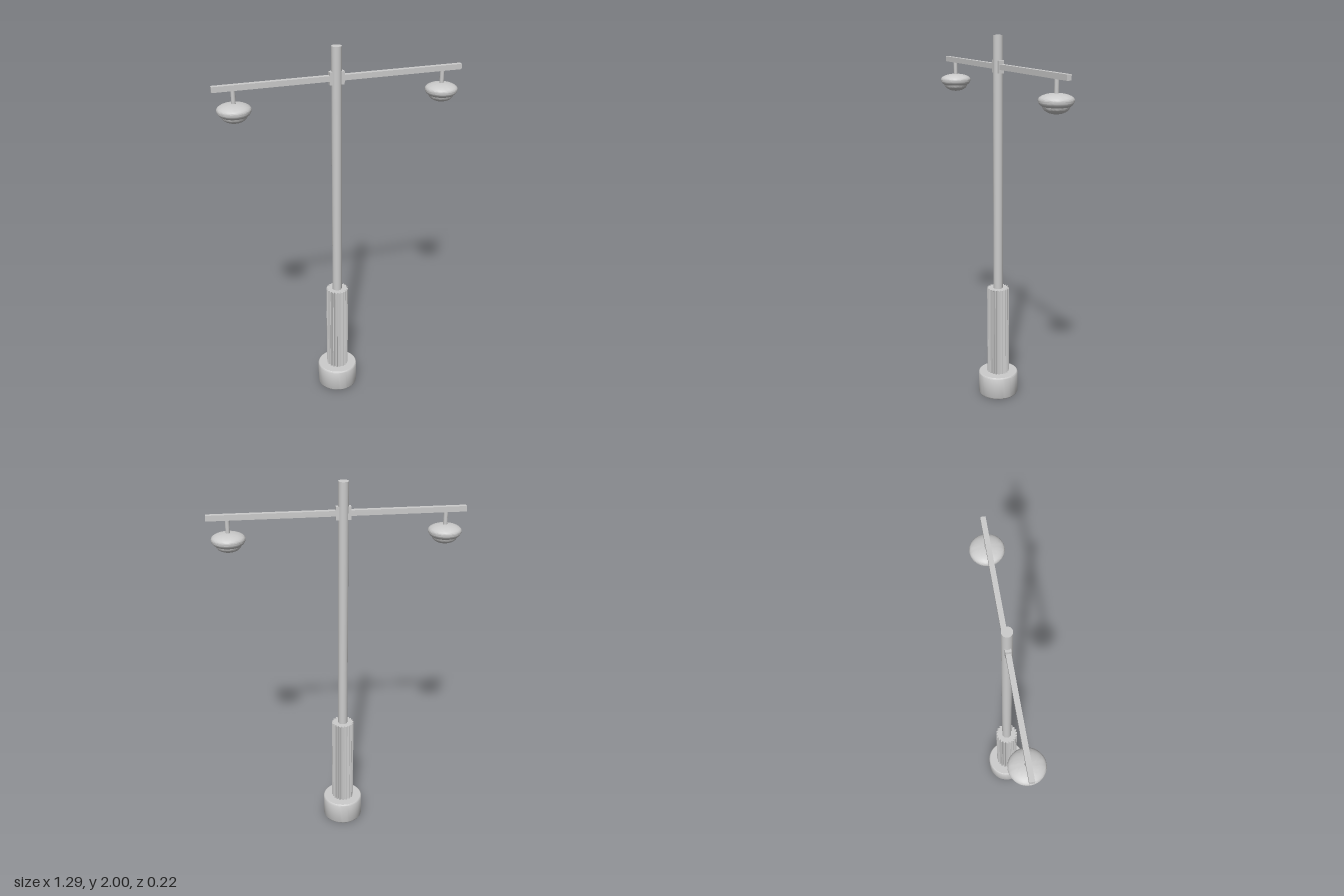
import * as THREE from 'three';
import { toCreasedNormals } from 'three/addons/utils/BufferGeometryUtils.js';

const POLE_X = -0.026;

export function createModel() {
  const group = new THREE.Group();
  const material = new THREE.MeshStandardMaterial({ color: 0xcccccc });
  const add = (name, geometry, x, y, z = 0, parent = group) => {
    const mesh = new THREE.Mesh(geometry, material);
    mesh.name = name;
    mesh.position.set(x, y, z);
    parent.add(mesh);
    return mesh;
  };
  const lathe = (points, segments = 48) => toCreasedNormals(
    new THREE.LatheGeometry(points.map(([r, y]) => new THREE.Vector2(r, y)), segments), 0.6);

  // Round foot with softened edges
  add('base', lathe([[0, 0], [0.105, 0], [0.109, 0.003], [0.111, 0.008],
    [0.111, 0.123], [0.109, 0.128], [0.105, 0.131], [0, 0.131]]), POLE_X, 0);

  // Fluted lower column: a ring of sawtooth ridges
  const teeth = 20;
  const outline = [];
  for (let i = 0; i < teeth; i++) {
    const a = (i / teeth) * Math.PI * 2;
    const step = (Math.PI * 2) / teeth;
    for (const [t, r] of [[0, 0.05], [0.4, 0.056], [0.75, 0.061], [0.97, 0.06]]) {
      outline.push(new THREE.Vector2(Math.cos(a + t * step) * r, Math.sin(a + t * step) * r));
    }
  }
  const column = new THREE.ExtrudeGeometry(new THREE.Shape(outline),
    { depth: 0.51, bevelEnabled: false });
  column.rotateX(-Math.PI / 2);
  add('flutedColumn', column, POLE_X, 0.125);

  // Tall pole
  add('pole', new THREE.CylinderGeometry(0.026, 0.026, 1.4, 32), POLE_X, 1.3);

  // Crossarm and the bracket that holds it
  add('crossarm', new THREE.BoxGeometry(1.288, 0.028, 0.025), 0, 1.843);
  add('bracket', new THREE.BoxGeometry(0.076, 0.066, 0.028), POLE_X, 1.843);

  // Hanging lamps: stem, flattened shade and glass bowl
  const shadePoints = [[0, -0.029], [0.066, -0.029], [0.076, -0.021], [0.083, -0.01]];
  for (let i = 0; i <= 10; i++) {
    const a = (i / 10) * Math.PI / 2;
    shadePoints.push([0.085 * Math.cos(a), 0.032 * Math.sin(a)]);
  }
  const bowlPoints = [];
  for (let i = 0; i <= 10; i++) {
    const a = (i / 10) * Math.PI / 2;
    bowlPoints.push([0.065 * Math.sin(a), -0.026 - 0.038 * Math.cos(a)]);
  }
  const shade = lathe(shadePoints);
  const bowl = lathe(bowlPoints);
  const stem = new THREE.CylinderGeometry(0.011, 0.011, 0.08, 16);
  for (const side of [-1, 1]) {
    const lamp = new THREE.Group();
    lamp.name = side < 0 ? 'rightLamp' : 'leftLamp';
    lamp.position.set(side * 0.541, 1.733, 0);
    add('stem', stem, 0, 0.065, 0, lamp);
    add('shade', shade, 0, 0, 0, lamp);
    add('bowl', bowl, 0, 0, 0, lamp);
    group.add(lamp);
  }
  return group;
}
